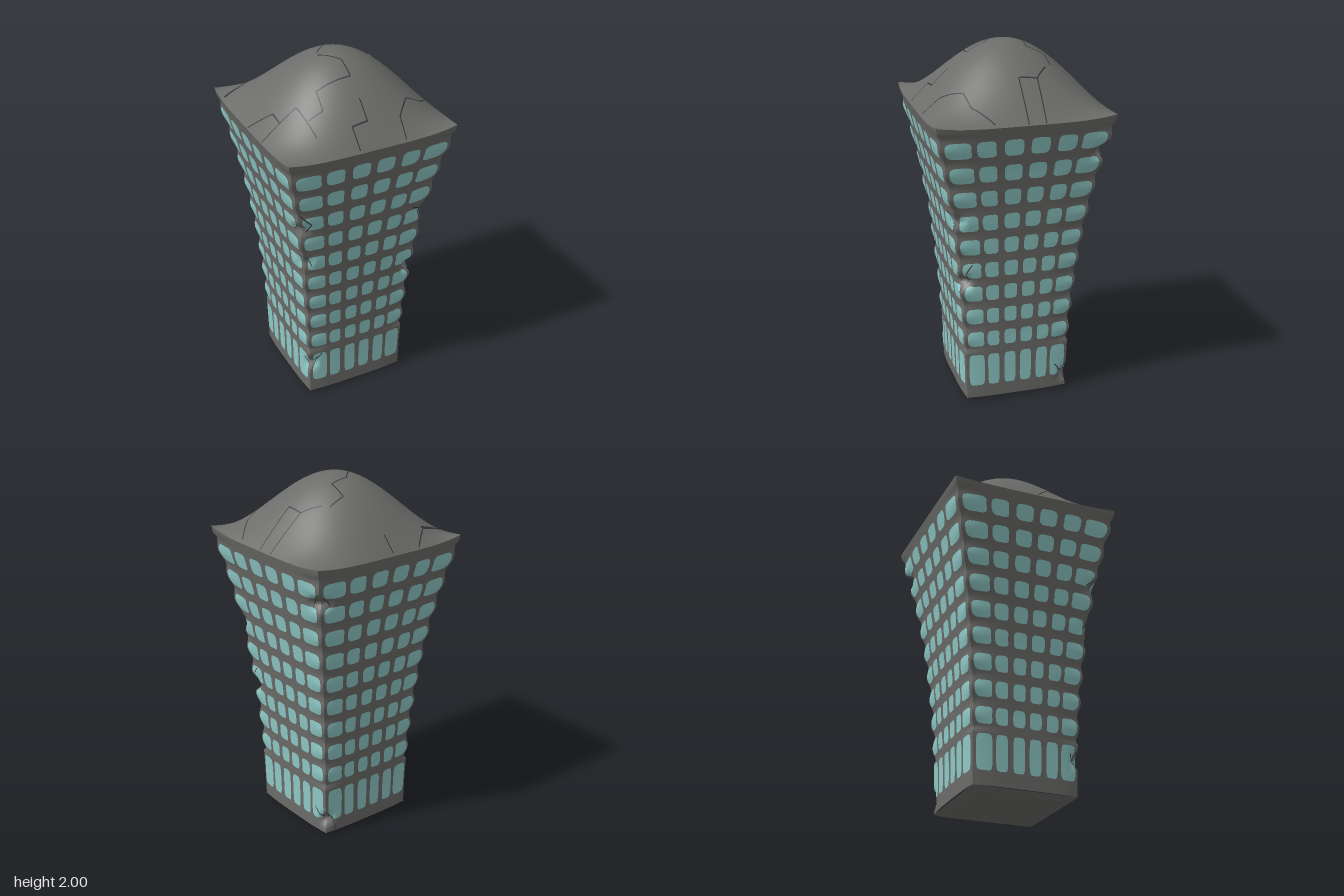
import * as THREE from 'three';
import { mergeGeometries } from 'three/addons/utils/BufferGeometryUtils.js';

const BASE = 0.02, RIM = 1.655, ROW_STEP = 0.1437, TOP_ROW = 1.54;

// Half width of the tower at mid-wall, by height
const PROFILE = [[0, 0.302], [0.2, 0.306], [0.4, 0.313], [0.6, 0.326], [0.8, 0.344],
  [1.0, 0.367], [1.2, 0.397], [1.4, 0.435], [1.6, 0.48], [1.66, 0.495]];
function halfWidth(y) {
  let i = 0;
  while (i < PROFILE.length - 2 && y > PROFILE[i + 1][0]) i++;
  const [y0, w0] = PROFILE[i], [y1, w1] = PROFILE[i + 1];
  return w0 + (w1 - w0) * (y - y0) / (y1 - y0);
}

// Corners sit slightly inside the walls and scallop once per storey
function cornerWidth(y) {
  const wave = y > 0.32 && y < 1.62 ? 0.5 - 0.5 * Math.cos((y - TOP_ROW) / ROW_STEP * Math.PI * 2) : 0.3;
  return halfWidth(y) - 0.009 - 0.013 * wave;
}

// Broken chips: corner index, height, depth
const CHIPS = [[0, 0.75, 0.035], [0, 1.12, 0.03], [1, 0.1, 0.035], [1, 1.47, 0.03],
  [3, 0.22, 0.03], [3, 0.97, 0.025], [3, 1.22, 0.03]];

// Point on a wall; u runs -1..1 across it
function wallPoint(side, u, y, lift = 0) {
  const c = cornerWidth(y), a = Math.abs(u);
  const corner = u > 0 ? side : (side + 3) % 4;
  let dent = 0;
  for (const [k, cy, depth] of CHIPS) {
    if (k === corner) dent += depth * Math.max(0, 1 - Math.abs(y - cy) / 0.055);
  }
  dent *= Math.max(0, (a - 0.8) / 0.2);
  const rise = y > 1.6 ? 0.02 * a ** 4 * (y - 1.6) / (RIM - 1.6) : 0;
  return [u * c - Math.sign(u) * dent, y + rise,
    c + (halfWidth(y) - c) * (1 - a ** 4) - dent + lift];
}

// Point on the domed roof; s and t run -1..1
function roofPoint(s, t, lift = 0) {
  const c = cornerWidth(RIM), h = halfWidth(RIM);
  const edge = (v) => c + (h - c) * (1 - v ** 4);
  const dome = Math.cos(s * Math.PI / 2) * Math.cos(t * Math.PI / 2);
  return [s * edge(t), RIM + (2 - RIM) * dome + 0.02 * (s * t) ** 4 + lift, t * edge(s)];
}

// Bend a flat grid by a rule
function bentGrid(nx, ny, rule) {
  const g = new THREE.PlaneGeometry(2, 2, nx, ny);
  const p = g.attributes.position;
  for (let i = 0; i < p.count; i++) p.setXYZ(i, ...rule(p.getX(i), p.getY(i)));
  g.computeVertexNormals();
  return g;
}

// Thin ribbon following a polyline on a surface
function crack(points, width, surface) {
  const pieces = [];
  for (let i = 0; i < points.length - 1; i++) {
    const [ax, ay] = points[i], [bx, by] = points[i + 1];
    const len = Math.hypot(bx - ax, by - ay);
    const nx = -(by - ay) / len * width / 2, ny = (bx - ax) / len * width / 2;
    pieces.push(bentGrid(8, 1, (s, t) => {
      const k = (s + 1) / 2;
      return surface(ax + (bx - ax) * k + nx * t, ay + (by - ay) * k + ny * t);
    }));
  }
  return mergeGeometries(pieces);
}

export function createModel() {
  const stone = new THREE.MeshStandardMaterial({ color: 0x6c6c6a });
  stone.name = 'grey stone';
  const glass = new THREE.MeshStandardMaterial({ color: 0x8fcac7 });
  glass.name = 'pale teal glass';
  const dark = new THREE.MeshStandardMaterial({ color: 0x343636, side: THREE.DoubleSide });
  dark.name = 'dark crack';

  const model = new THREE.Group();
  model.name = 'tower';
  const add = (parent, name, geometry, material) => {
    const mesh = new THREE.Mesh(geometry, material);
    mesh.name = name;
    parent.add(mesh);
    return mesh;
  };

  // Window rows as [centre, half height], columns as [centre, half width]
  const rows = [[0.195, 0.097]];
  for (let i = 0; i < 9; i++) rows.push([TOP_ROW - i * ROW_STEP, 0.046]);
  const columns = [];
  for (const m of [-1, 1]) columns.push([m * 0.155, 0.112], [m * 0.475, 0.112], [m * 0.8, 0.15]);

  // Cracks on each wall: (u, y)
  const wallCracks = [
    [[[-0.98, 1.32], [-0.82, 1.25], [-0.95, 1.19]], [[0.78, 1.17], [0.92, 1.15], [0.97, 1.07]],
      [[-0.98, 0.17], [-0.9, 0.25], [-0.75, 0.29]], [[-0.97, 1.02], [-0.88, 0.95]],
      [[0.97, 0.69], [0.9, 0.76], [0.97, 0.82]]],
    [[[-0.97, 0.74], [-0.88, 0.82], [-0.8, 0.86]], [[0.75, 0.17], [0.88, 0.12], [0.98, 0.12]],
      [[0.9, 1.44], [0.97, 1.53]]],
    [[[-0.98, 0.13], [-0.86, 0.1], [-0.8, 0.03]], [[-0.97, 1.5], [-0.88, 1.45]]],
    [[[0.97, 1.25], [0.88, 1.2]], [[0.97, 0.2], [0.85, 0.25]]],
  ];

  // Four flaring walls with their windows
  ['front', 'left', 'back', 'right'].forEach((label, side) => {
    const wall = new THREE.Group();
    wall.name = label + 'Side';
    wall.rotation.y = side * Math.PI / 2;
    model.add(wall);
    add(wall, label + 'Wall', bentGrid(30, 114, (s, t) =>
      wallPoint(side, s, BASE + (RIM - BASE) * (t + 1) / 2)), stone);

    const panes = [];
    for (const [cy, hy] of rows) {
      for (const [cu, hu] of columns) {
        const round = hy > 0.06 ? 0.08 : 0.15;
        panes.push(bentGrid(8, 8, (s, t) => wallPoint(side,
          cu + hu * s * (1 - 0.14 * t ** 6), cy + hy * t * (1 - round * s ** 6), 0.004)));
      }
    }
    add(wall, label + 'Windows', mergeGeometries(panes), glass);
    add(wall, label + 'WallCracks', mergeGeometries(wallCracks[side].map((line) =>
      crack(line, 0.009, (u, y) => wallPoint(side, u, y, 0.006)))), dark);
  });

  // Domed roof
  add(model, 'roof', bentGrid(48, 48, (s, t) => roofPoint(s, -t)), stone);

  // Cracks running over the roof: (x, z)
  const roofCracks = [
    [[0.19, -0.205], [0.1, -0.2], [0.1, -0.105], [0, -0.1], [-0.08, -0.02]],
    [[-0.09, 0.005], [0, 0.1], [0, 0.2], [-0.19, 0.195], [-0.2, 0.29], [-0.28, 0.29]],
    [[-0.49, 0.18], [-0.3, 0.19], [-0.28, 0.38]],
    [[0.22, -0.17], [0.3, -0.1], [0.49, -0.095]],
    [[0.3, -0.1], [0.3, 0], [0.49, 0]],
    [[0, 0.3], [0, 0.39], [-0.09, 0.395], [-0.09, 0.485]],
    [[0.48, 0.18], [0.38, 0.275], [0.28, 0.29], [0.19, 0.39], [0.18, 0.485]],
    [[-0.49, 0], [-0.39, 0.1], [-0.39, 0.18]],
    [[0, -0.485], [0, -0.41]],
    [[-0.28, -0.4], [-0.18, -0.485]],
  ];
  const onRoof = (x, z) => roofPoint(x / 0.493, z / 0.493, 0.004);
  const roofLines = roofCracks.map((line) => crack(line, 0.006, onRoof));
  roofLines.push(crack([[-0.475, -0.367], [-0.28, -0.39]], 0.018, onRoof));
  add(model, 'roofCracks', mergeGeometries(roofLines), dark);

  // Bevelled foot
  const foot = new THREE.CylinderGeometry(0.292 * Math.SQRT2, 0.25 * Math.SQRT2, BASE, 4, 1);
  foot.rotateY(Math.PI / 4);
  foot.translate(0, BASE / 2, 0);
  add(model, 'foot', foot.toNonIndexed(), stone);

  return model;
}
